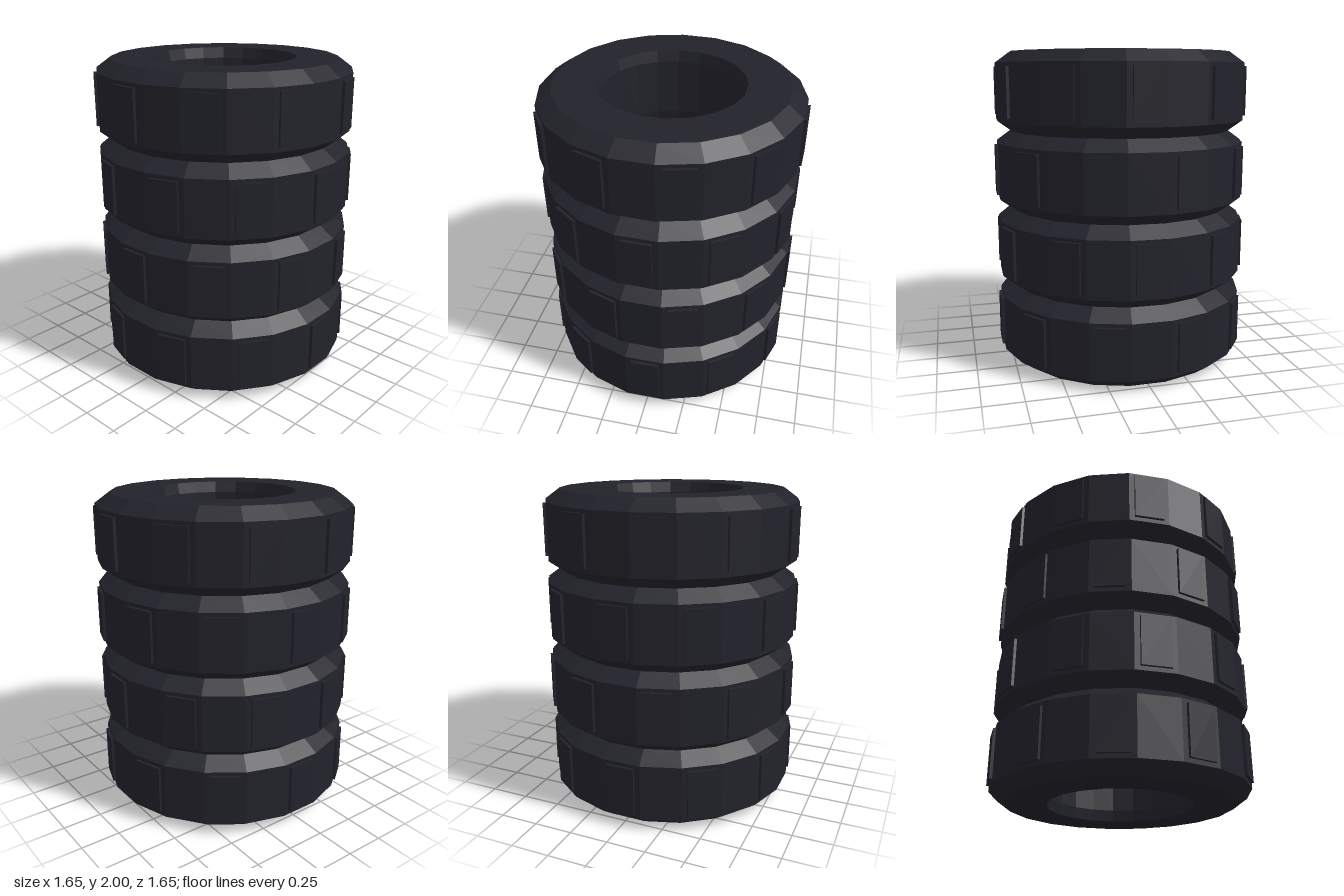
import * as THREE from 'three';

const SIDES = 20;
const TREADS = 10;
const TYRES = 4;
const HEIGHT = 0.5;

export function createModel() {
  const rubber = new THREE.MeshStandardMaterial({ color: 0x22222b, flatShading: true });
  rubber.name = 'darkRubber';

  // Closed cross-section: chamfered outer wall, flat top, bore, flat bottom
  const profile = [
    [0.456, 0], [0.717, 0], [0.813, 0.07], [0.813, 0.43],
    [0.717, 0.5], [0.456, 0.5], [0.44, 0.43], [0.44, 0.07], [0.456, 0],
  ].map(([r, y]) => new THREE.Vector2(r, y));

  // Half a side of turn puts flats, not corners, on the axes
  const bodyGeometry = new THREE.LatheGeometry(profile, SIDES, Math.PI / SIDES);
  const treadGeometry = new THREE.BoxGeometry(0.185, 0.31, 0.04);

  const model = new THREE.Group();
  model.name = 'tyreStack';

  for (let i = 0; i < TYRES; i++) {
    const tyre = new THREE.Group();
    tyre.name = `tyre${i + 1}`;
    tyre.position.y = i * HEIGHT;
    tyre.rotation.y = i * 0.3; // each tyre is twisted a little further

    const body = new THREE.Mesh(bodyGeometry, rubber);
    body.name = 'tyreBody';
    tyre.add(body);

    // Tread blocks on every second flat
    for (let t = 0; t < TREADS; t++) {
      const angle = ((t + 0.5) / TREADS) * Math.PI * 2;
      const tread = new THREE.Mesh(treadGeometry, rubber);
      tread.name = 'treadBlock';
      tread.position.set(Math.sin(angle) * 0.801, HEIGHT / 2 + 0.002, Math.cos(angle) * 0.801);
      tread.rotation.y = angle;
      tyre.add(tread);
    }
    model.add(tyre);
  }
  return model;
}
